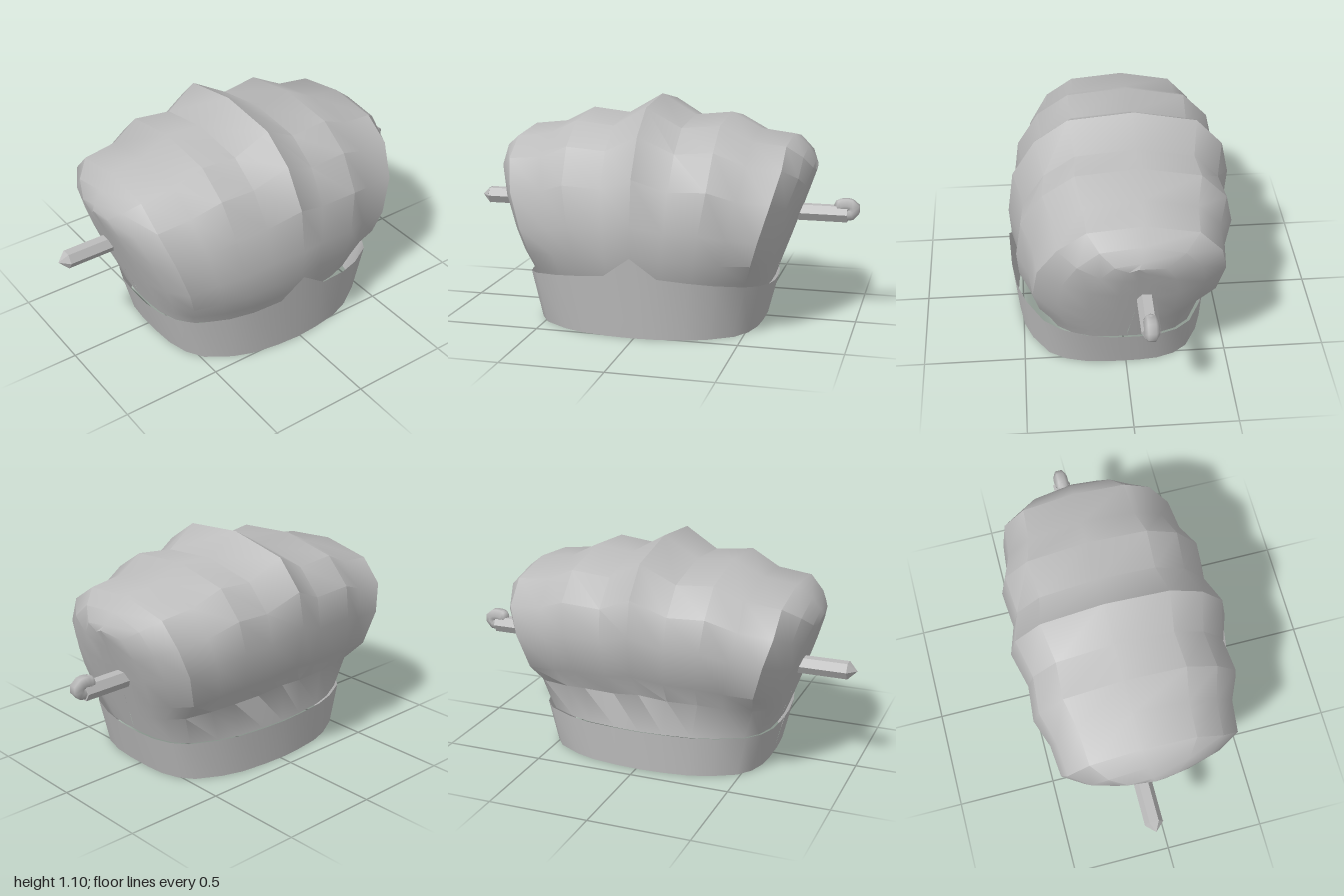
import * as THREE from 'three';
import { mergeVertices, toCreasedNormals } from 'three/addons/utils/BufferGeometryUtils.js';

// Skin a list of columns, each an equally long list of points
function skin(cols, crease) {
  const n = cols[0].length, index = [];
  for (let c = 0; c < cols.length - 1; c++) {
    for (let i = 0; i < n - 1; i++) {
      const a = c * n + i, b = a + n;
      index.push(a, b, a + 1, b, b + 1, a + 1);
    }
  }
  const g = new THREE.BufferGeometry();
  g.setAttribute('position', new THREE.Float32BufferAttribute(cols.flat(2), 3));
  g.setIndex(index);
  return toCreasedNormals(mergeVertices(g), crease);
}

// Half of the pleats: x, top height, puff depth, base depth, band front height
const half = [
  [0, 1.10, 1, 1, 0.40],
  [0.17, 1.0, 0.915, 0.985, 0.305],
  [0.36, 1.02, 0.945, 0.945, 0.29],
  [0.505, 0.945, 0.85, 0.87, 0.275],
  [0.675, 0.925, 0.82, 0.72, 0.255],
  [0.75, 0.865, 0.62, 0.56, 0.24],
  [0.79, 0.805, 0.38, 0.36, 0.225],
  [0.802, 0.78, 0.14, 0.14, 0.21],
  [0.802, 0.78, 0, 0, 0.207],
];
const pleats = [...half.slice(1).reverse().map(([x, ...r]) => [-x, ...r]), ...half];

// Middle cross-section as [z, y], from front base over the top to back base
const profile = [
  [0.46, 0.2], [0.49, 0.28], [0.54, 0.4], [0.55, 0.55], [0.52, 0.77], [0.405, 0.955],
  [0.24, 1.07], [-0.08, 1.10], [-0.39, 1.04], [-0.52, 0.9], [-0.555, 0.73],
  [-0.515, 0.52], [-0.42, 0.39], [-0.425, 0.2],
];
const SHIFT = -0.012;

export function createModel() {
  const model = new THREE.Group();
  const grey = new THREE.MeshStandardMaterial({ color: 0xbcbcbc, side: THREE.DoubleSide });
  grey.name = 'grey cloth';
  const add = (name, geometry, parent = model) => {
    const mesh = new THREE.Mesh(geometry, grey);
    mesh.name = name;
    parent.add(mesh);
    return mesh;
  };

  // Pleated crown, flaring outward with height
  const crown = pleats.map(([x, top, puff, base]) => profile.map(([z, py]) => {
    const y = 0.2 + (py - 0.2) * (top - 0.2) / 0.9;
    const t = THREE.MathUtils.smoothstep(py, 0.2, 0.55);
    const s = THREE.MathUtils.lerp(base, puff, t);
    const flare = 0.655 + 0.345 * Math.min(1, y / 0.78);
    const zc = -0.03 * t;
    return [x * flare + SHIFT, y, zc + (z - zc) * s];
  }));
  add('crown', skin(crown, 0.7));

  // Head band, rising to a small peak at the front
  const front = pleats.map(([x, , , base, h]) => [
    [x * 0.7 + SHIFT, 0, 0.525 * base],
    [x * 0.768 + SHIFT, h, 0.555 * base],
  ]);
  const back = pleats.map(([x, , , base]) => [
    [x * 0.7 + SHIFT, 0, -0.43 * base],
    [x * 0.765 + SHIFT, 0.205, -0.44 * base],
  ]).reverse();
  add('band', skin([...front, ...back.slice(1)], 0.7));

  // Pin: a pointed stub on one side, a curled stub on the other
  const pin = new THREE.Group();
  pin.name = 'pin';
  pin.position.set(0, 0.53, -0.08);
  model.add(pin);
  const stub = (name, r0, r1, x0, x1) => {
    const g = new THREE.CylinderGeometry(r1, r0, Math.abs(x1 - x0), 6);
    g.rotateZ(x1 > x0 ? -Math.PI / 2 : Math.PI / 2);
    g.translate((x0 + x1) / 2, 0, 0);
    add(name, toCreasedNormals(g, 0.7), pin);
  };
  stub('rightShaft', 0.045, 0.045, -0.6, -0.955);
  stub('rightTip', 0.047, 0, -0.955, -1);
  stub('leftShaft', 0.045, 0.045, 0.6, 0.935);

  const curl = new THREE.CatmullRomCurve3([
    [0.92, 0], [0.958, 0.006], [0.963, 0.035], [0.93, 0.046], [0.9, 0.04],
  ].map(([x, y]) => new THREE.Vector3(x, y, 0)));
  add('curl', new THREE.TubeGeometry(curl, 8, 0.036, 6), pin);
  const knob = add('curlEnd', new THREE.SphereGeometry(0.036, 6, 4), pin);
  knob.position.set(0.902, 0.04, 0);
  return model;
}
